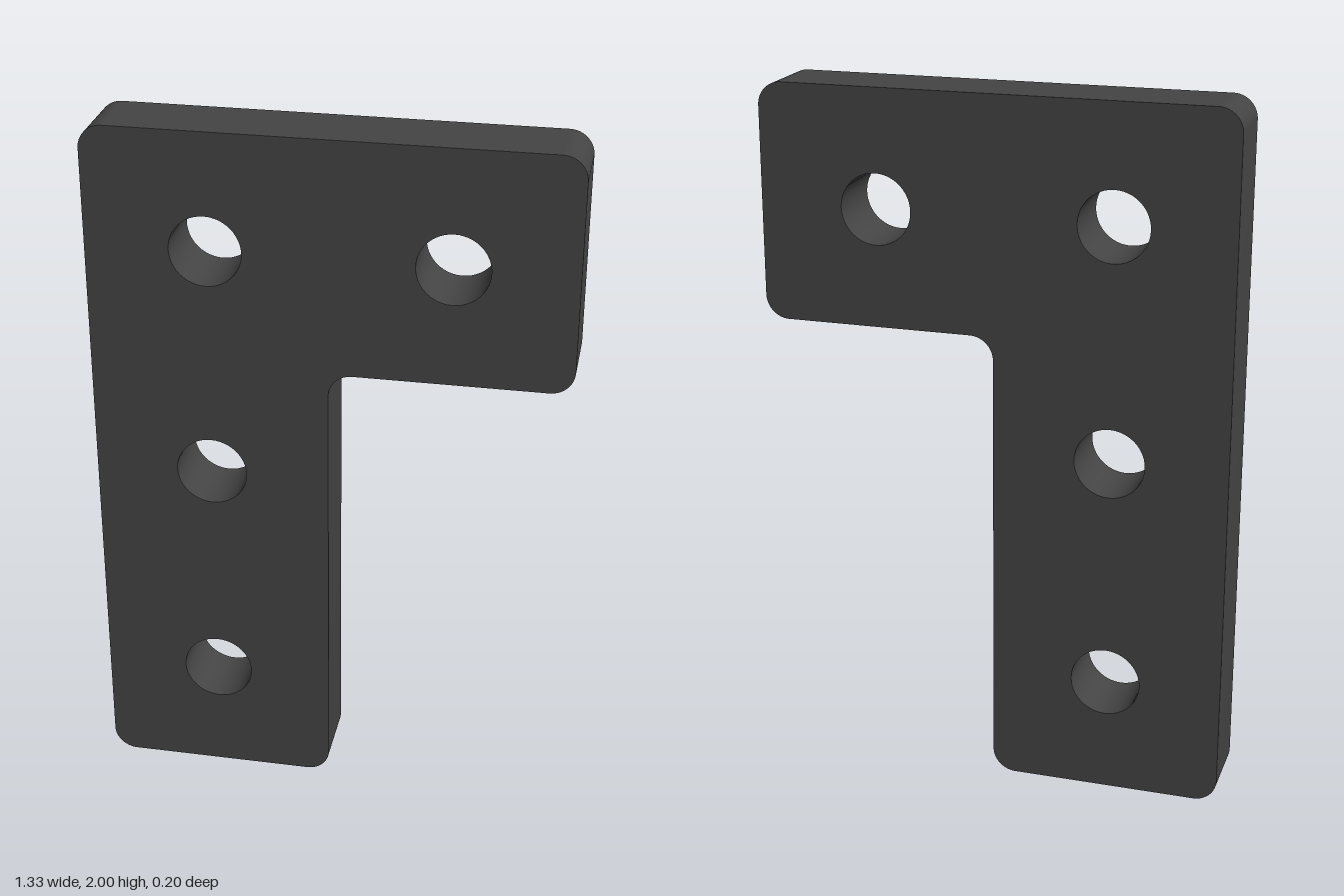
import * as THREE from 'three';
import { toCreasedNormals } from 'three/addons/utils/BufferGeometryUtils.js';

const U = 2 / 3;        // width of each arm
const T = 0.2;          // plate thickness
const R = 0.067;        // corner radius
const HOLE_R = 0.1;

// Closed outline with every corner rounded by radius r
function roundedOutline(points, r) {
  const pts = points.map(([x, y]) => new THREE.Vector2(x, y));
  const shape = new THREE.Shape();
  pts.forEach((p, i) => {
    const prev = pts[(i + pts.length - 1) % pts.length];
    const next = pts[(i + 1) % pts.length];
    const dIn = p.clone().sub(prev).normalize();
    const dOut = next.clone().sub(p).normalize();
    const start = p.clone().addScaledVector(dIn, -r);
    const centre = start.clone().addScaledVector(dOut, r);
    const end = p.clone().addScaledVector(dOut, r);
    const clockwise = dIn.cross(dOut) < 0;
    if (i === 0) shape.moveTo(start.x, start.y);
    else shape.lineTo(start.x, start.y);
    shape.absarc(centre.x, centre.y, r,
      Math.atan2(start.y - centre.y, start.x - centre.x),
      Math.atan2(end.y - centre.y, end.x - centre.x), clockwise);
  });
  shape.closePath();
  return shape;
}

export function createModel() {
  const group = new THREE.Group();
  group.name = 'cornerBracket';

  // L-shaped outline: long upright arm and short top arm towards +x
  const outline = roundedOutline(
    [[-U, 0], [0, 0], [0, 2 * U], [U, 2 * U], [U, 3 * U], [-U, 3 * U]], R);

  // Bolt holes, one in the middle of each square unit
  for (const [x, y] of [[-0.5, 0.5], [-0.5, 1.5], [-0.5, 2.5], [0.5, 2.5]]) {
    const hole = new THREE.Path();
    hole.absarc(x * U, y * U, HOLE_R, 0, Math.PI * 2, true);
    outline.holes.push(hole);
  }

  const plate = new THREE.ExtrudeGeometry(outline, { depth: T, bevelEnabled: false, curveSegments: 24 });
  plate.translate(0, 0, -T / 2);

  const mesh = new THREE.Mesh(toCreasedNormals(plate, 0.6),
    new THREE.MeshStandardMaterial({ color: 0x444444 }));
  mesh.name = 'bracketPlate';
  group.add(mesh);
  return group;
}
